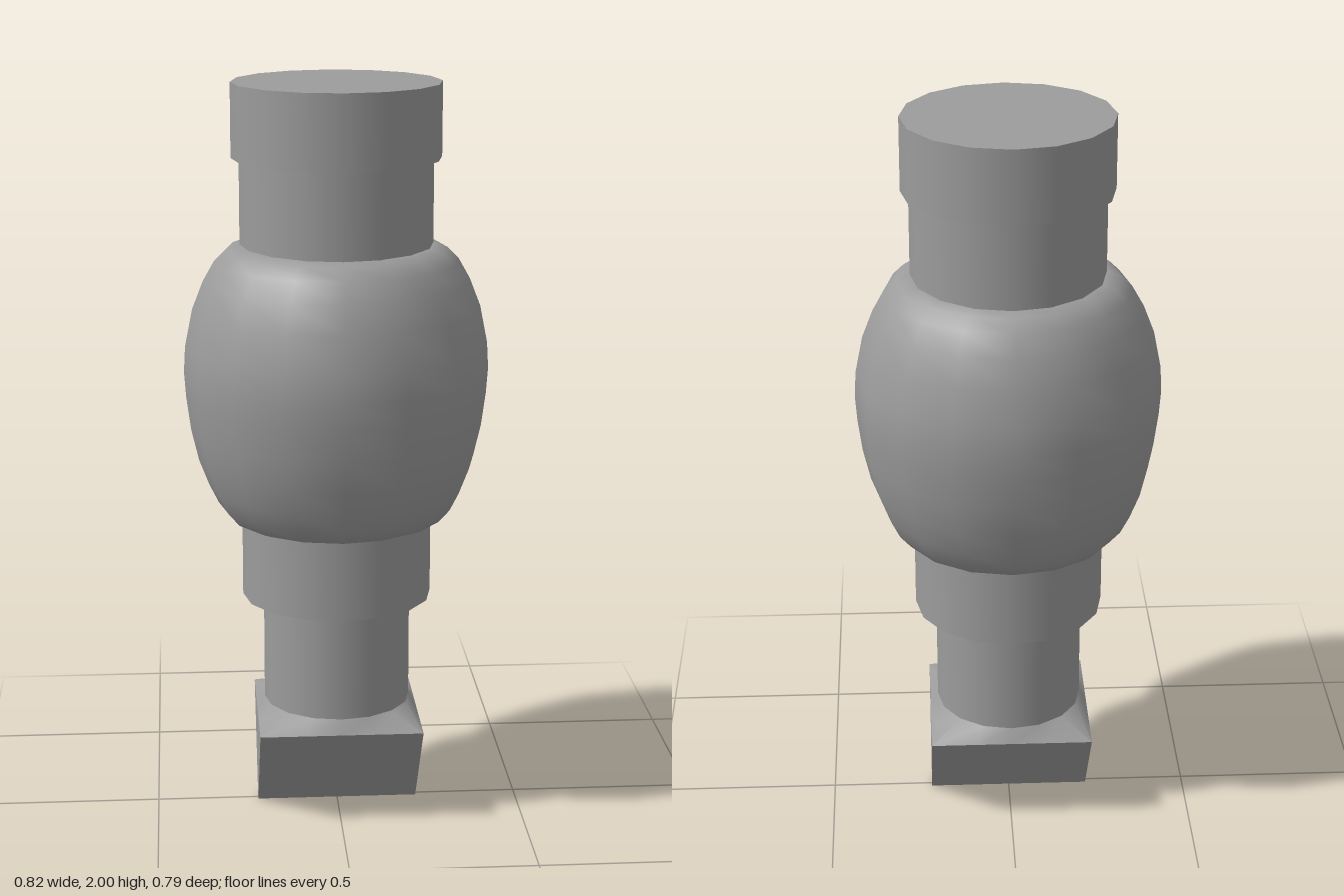
import * as THREE from 'three';
import { toCreasedNormals } from 'three/addons/utils/BufferGeometryUtils.js';

const SIDES = 16;

export function createModel() {
  const model = new THREE.Group();
  const material = new THREE.MeshStandardMaterial({ color: 0x9c9c9c });

  const add = (name, geometry) => {
    const mesh = new THREE.Mesh(geometry, material);
    mesh.name = name;
    model.add(mesh);
    return mesh;
  };
  const drum = (name, radius, y0, y1) => {
    add(name, new THREE.CylinderGeometry(radius, radius, y1 - y0, SIDES)).position.y = (y0 + y1) / 2;
  };

  // Stacked round sections
  drum('shank', 0.2, 0.3, 0.62);
  drum('lowerCollar', 0.257, 0.605, 0.84);
  drum('neck', 0.257, 1.56, 1.81);
  drum('cap', 0.278, 1.802, 2);

  // Bulging body, slightly flattened front to back
  const profile = [
    [0, 0.817], [0.257, 0.817], [0.29, 0.83], [0.32, 0.865], [0.345, 0.915], [0.372, 0.985], [0.392, 1.07],
    [0.404, 1.16], [0.409, 1.23], [0.405, 1.3], [0.385, 1.4], [0.356, 1.475],
    [0.325, 1.53], [0.295, 1.56], [0.255, 1.575], [0, 1.575],
  ].map(([r, y]) => new THREE.Vector2(r, y));
  const body = new THREE.LatheGeometry(profile, SIDES);
  body.scale(1, 1, 0.963);
  add('body', body);

  // Chisel wedge, tapering to a narrow edge along x
  const wedge = new THREE.Shape([
    new THREE.Vector2(-0.015, 0), new THREE.Vector2(0.015, 0),
    new THREE.Vector2(0.221, 0.267), new THREE.Vector2(-0.221, 0.267),
  ]);
  const tip = new THREE.ExtrudeGeometry(wedge, { depth: 0.442, bevelEnabled: false });
  tip.translate(0, 0, -0.221).rotateY(Math.PI / 2);
  add('chiselTip', tip);

  // Shoulder blending the square wedge top into the round shank
  const positions = [];
  const index = [];
  for (let i = 0; i < SIDES; i++) {
    const a = (i / SIDES) * Math.PI * 2;
    const s = Math.sin(a), c = Math.cos(a);
    const k = 0.221 / Math.max(Math.abs(s), Math.abs(c));
    positions.push(s * k, 0.267, c * k, s * 0.2, 0.305, c * 0.2);
    const p = i * 2, q = ((i + 1) % SIDES) * 2;
    index.push(p, q, q + 1, p, q + 1, p + 1);
  }
  const shoulder = new THREE.BufferGeometry();
  shoulder.setAttribute('position', new THREE.Float32BufferAttribute(positions, 3));
  shoulder.setIndex(index);
  add('shoulder', toCreasedNormals(shoulder, Math.PI / 4));

  return model;
}
